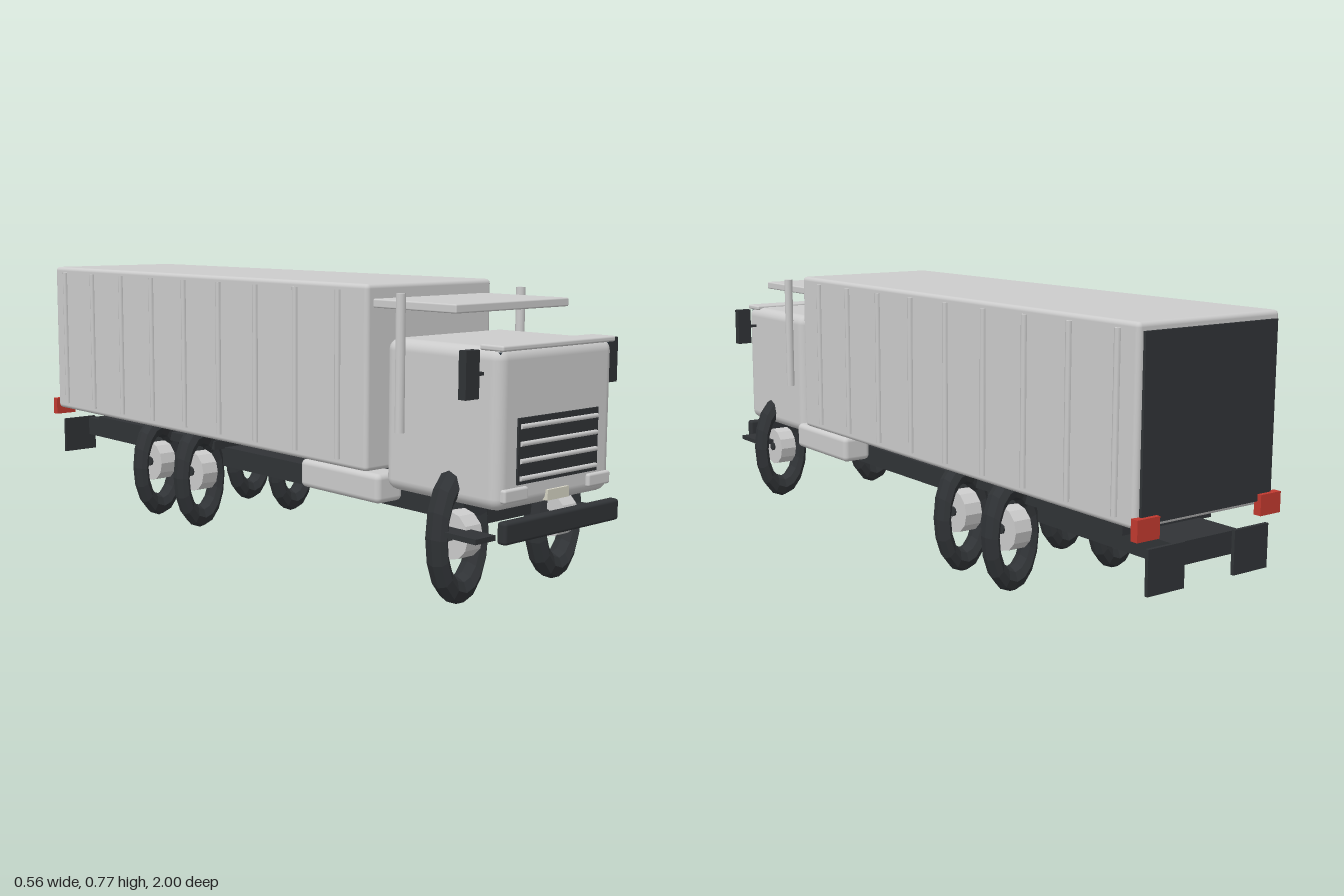
import * as THREE from 'three';
import { RoundedBoxGeometry } from 'three/addons/geometries/RoundedBoxGeometry.js';

const mat = (color, flatShading = false) => new THREE.MeshStandardMaterial({ color, flatShading });
const GREY = mat(0xcccccc), GREY_FLAT = mat(0xcccccc, true);
const DARK = mat(0x303336), TYRE = mat(0x303336, true);
const GLASS = mat(0x2a3640), RED = mat(0xc0392f), LAMP = mat(0xe0e0dc), PLATE = mat(0xd6d4c4);

export function createModel() {
  const truck = new THREE.Group();
  truck.name = 'boxTruck';

  const add = (name, geometry, material, x, y, z) => {
    const mesh = new THREE.Mesh(geometry, material);
    mesh.name = name;
    mesh.position.set(x, y, z);
    truck.add(mesh);
    return mesh;
  };
  // Box given by its limits on each axis, optionally with rounded edges
  const box = (name, material, [x0, x1], [y0, y1], [z0, z1], radius = 0) => {
    const w = x1 - x0, h = y1 - y0, d = z1 - z0;
    const g = radius ? new RoundedBoxGeometry(w, h, d, 3, radius) : new THREE.BoxGeometry(w, h, d);
    return add(name, g, material, (x0 + x1) / 2, (y0 + y1) / 2, (z0 + z1) / 2);
  };
  // The same box on both sides; x limits are given for the left (+x) side
  const pair = (name, material, [x0, x1], y, z, radius = 0) => {
    box(name + 'Left', material, [x0, x1], y, z, radius);
    box(name + 'Right', material, [-x1, -x0], y, z, radius);
  };

  // Cargo box with rear door
  box('cargoBox', GREY, [-0.23, 0.23], [0.295, 0.77], [-0.98, 0.55], 0.012);
  box('rearDoor', DARK, [-0.215, 0.215], [0.307, 0.75], [-0.988, -0.975]);

  // Cab with windscreen, sun visor and roof deflector
  box('cab', GREY, [-0.212, 0.212], [0.258, 0.64], [0.595, 0.972], 0.03);
  box('windscreen', GLASS, [-0.2, 0.2], [0.45, 0.63], [0.93, 0.962]);
  box('sunVisor', GREY, [-0.208, 0.208], [0.632, 0.646], [0.905, 0.977], 0.005);
  box('roofDeflector', GREY, [-0.208, 0.208], [0.711, 0.733], [0.54, 0.83], 0.004);

  // Grille with slats
  box('grille', DARK, [-0.148, 0.148], [0.318, 0.475], [0.955, 0.977]);
  for (let i = 0; i < 4; i++) {
    const slat = new THREE.CylinderGeometry(0.006, 0.006, 0.282, 8);
    add('grilleSlat', slat, GREY, 0, 0.332 + i * 0.041, 0.978).rotation.z = Math.PI / 2;
  }

  // Bumper, lamps, plate, steps and mirrors
  box('bumper', DARK, [-0.213, 0.213], [0.187, 0.241], [0.972, 1], 0.008);
  pair('headlight', LAMP, [0.112, 0.197], [0.279, 0.312], [0.955, 0.982], 0.006);
  box('numberPlate', PLATE, [-0.04, 0.04], [0.267, 0.293], [0.955, 0.979]);
  pair('step', DARK, [0.19, 0.258], [0.188, 0.201], [0.82, 0.95]);
  pair('mirror', DARK, [0.235, 0.28], [0.523, 0.636], [0.908, 0.931]);
  pair('mirrorArm', DARK, [0.2, 0.24], [0.575, 0.583], [0.914, 0.924]);

  // Chassis, rear subframe and fuel tanks
  box('chassis', DARK, [-0.11, 0.11], [0.188, 0.246], [-0.985, 0.82]);
  box('subframe', DARK, [-0.15, 0.15], [0.242, 0.268], [-0.855, -0.2]);
  pair('fuelTank', GREY, [0.145, 0.235], [0.22, 0.296], [0.297, 0.6], 0.015);

  // Tail lights and mud flaps
  pair('tailLight', RED, [0.168, 0.238], [0.272, 0.325], [-1, -0.978]);
  pair('mudFlap', DARK, [0.083, 0.2], [0.137, 0.25], [-0.998, -0.988]);

  for (const side of [1, -1]) {
    // Upright ribs along the cargo box
    for (let i = 0; i < 9; i++) {
      add('cargoRib', new THREE.CylinderGeometry(0.009, 0.009, 0.437, 8), GREY,
        side * 0.231, 0.534, 0.443 - i * 0.1696);
    }
    // Exhaust stack behind the cab door
    add('exhaustStack', new THREE.CylinderGeometry(0.0125, 0.0125, 0.343, 12), GREY,
      side * 0.221, 0.581, 0.66);

    // Wheels: narrowed ring tyres facing forward, with drum hubs across them
    for (const [z, ring, tube] of [[0.82, 0.138, 0.035], [-0.238, 0.125, 0.034], [-0.457, 0.125, 0.034]]) {
      const tyre = add('tyre', new THREE.TorusGeometry(ring, tube, 8, 16), TYRE,
        side * 0.18, ring + tube + 0.004, z);
      tyre.scale.x = 0.52;
      add('hub', new THREE.CylinderGeometry(0.06, 0.06, 0.053, 12), GREY_FLAT,
        side * 0.181, 0.179, z).rotation.z = Math.PI / 2;
      add('hubCap', new THREE.CylinderGeometry(0.014, 0.014, 0.06, 8), DARK,
        side * 0.183, 0.179, z).rotation.z = Math.PI / 2;
    }
  }
  return truck;
}
